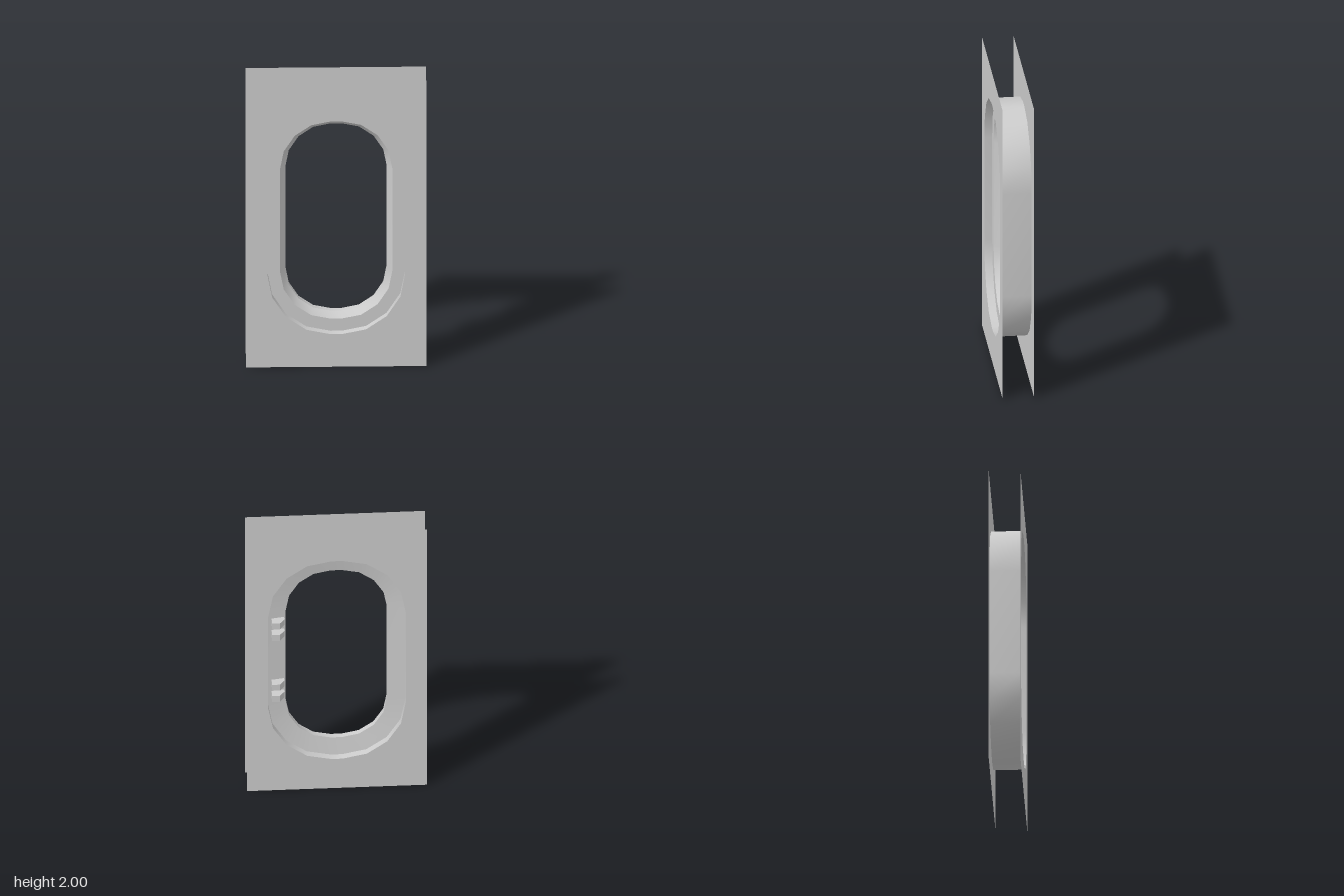
import * as THREE from 'three';

const material = new THREE.MeshStandardMaterial({ color: 0xcccccc, side: THREE.DoubleSide });
const CY = 1.003;

// Closed outline: straight sides with four-segment elliptical corners
function outline(rx, ry) {
  const points = [];
  for (let q = 0; q < 4; q++) {
    const sx = q === 0 || q === 3 ? 1 : -1;
    const sy = q < 2 ? 1 : -1;
    for (let i = 0; i <= 4; i++) {
      const a = (q + i / 4) * Math.PI / 2;
      points.push(new THREE.Vector2(sx * 0.035 + rx * Math.cos(a), CY + sy * 0.355 + ry * Math.sin(a)));
    }
  }
  return points;
}

const outer = outline(0.4, 0.42);
const middle = outline(0.32, 0.335);
const inner = outline(0.285, 0.3);

// Band joining two outlines, smooth along its length
function band(a, za, b, zb) {
  const positions = [], index = [], n = a.length;
  for (let i = 0; i < n; i++) positions.push(a[i].x, a[i].y, za, b[i].x, b[i].y, zb);
  for (let i = 0; i < n; i++) {
    const p = 2 * i, q = 2 * ((i + 1) % n);
    index.push(p, q, p + 1, q, q + 1, p + 1);
  }
  const geometry = new THREE.BufferGeometry();
  geometry.setAttribute('position', new THREE.Float32BufferAttribute(positions, 3));
  geometry.setIndex(index);
  geometry.computeVertexNormals();
  return geometry;
}

export function createModel() {
  const group = new THREE.Group();
  const add = (name, geometry) => {
    const mesh = new THREE.Mesh(geometry, material);
    mesh.name = name;
    group.add(mesh);
    return mesh;
  };

  // Thin wall panels with the opening cut out
  const panel = new THREE.Shape([[-0.57, 0], [0.57, 0], [0.57, 2], [-0.57, 2]].map(p => new THREE.Vector2(...p)));
  panel.holes.push(new THREE.Path(outer));
  add('frontPanel', new THREE.ShapeGeometry(panel)).position.z = 0.1;
  const back = new THREE.ShapeGeometry(panel);
  back.rotateY(Math.PI);
  add('backPanel', back).position.z = -0.1;

  // Sleeve through the wall; wound so its normals face outward
  add('sleeve', band(outer, -0.1, outer, 0.1));

  // Frame inside the sleeve: flat front, bevel, inner rim, sloped back
  add('frameFront', band(outer, 0.05, middle, 0.05));
  add('frameBevel', band(middle, 0.05, inner, 0.005));
  add('frameRim', band(inner, 0.005, inner, -0.033));
  add('frameBack', band(inner, -0.033, outer, -0.052));

  // Hinge lugs on the back, in two pairs; the profile is drawn in x and z
  const lug = new THREE.Shape([[0.33, -0.03], [0.33, -0.06], [0.36, -0.103], [0.41, -0.103], [0.41, -0.04]]
    .map(p => new THREE.Vector2(...p)));
  const lugGeometry = new THREE.ExtrudeGeometry(lug, { depth: 0.046, bevelEnabled: false });
  lugGeometry.rotateX(Math.PI / 2);
  for (const y of [1.285, 1.195, 0.805, 0.717]) {
    add('hingeLug', lugGeometry).position.y = y + 0.023;
  }
  return group;
}
